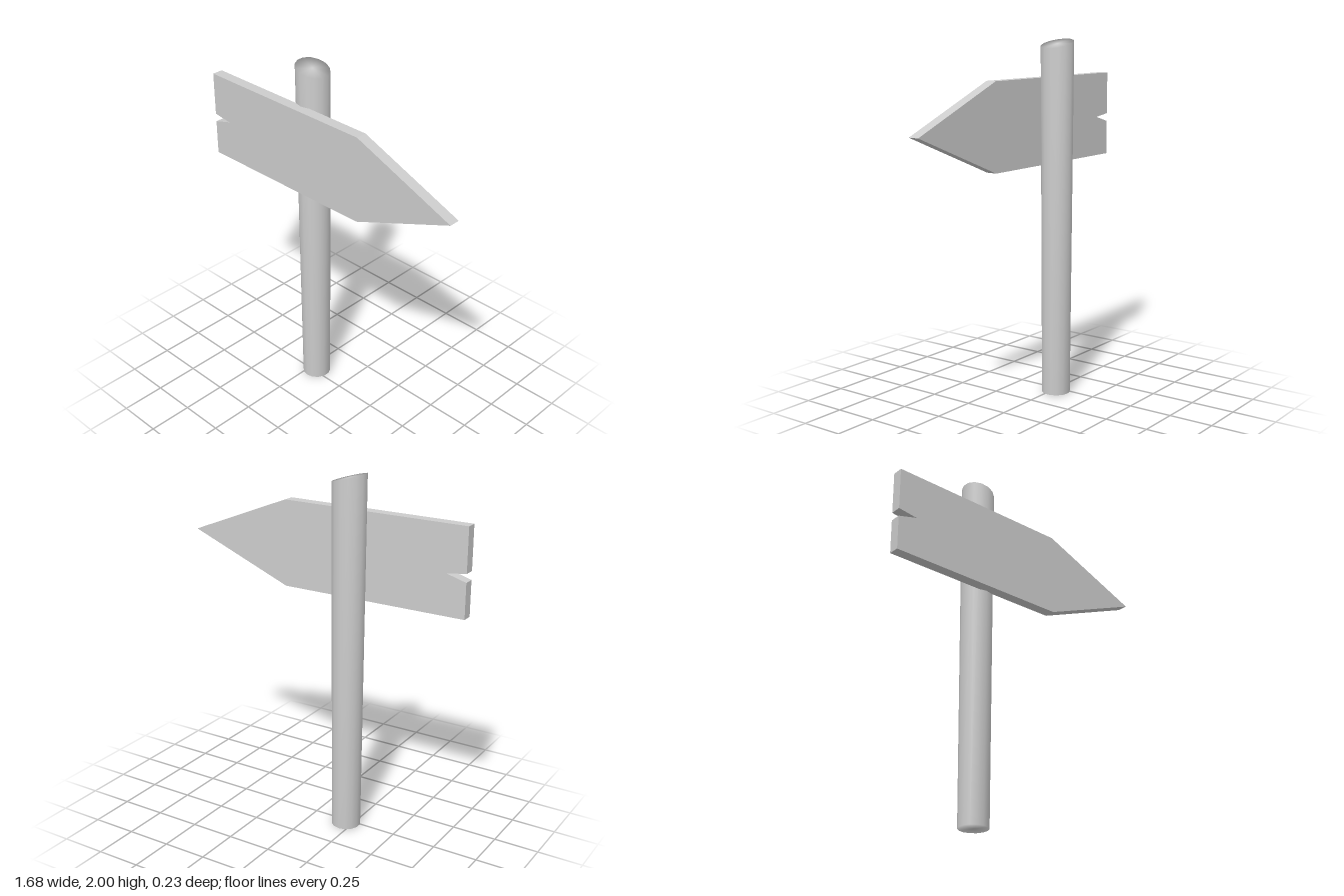
import * as THREE from 'three';
import { mergeVertices } from 'three/addons/utils/BufferGeometryUtils.js';

const grey = new THREE.MeshStandardMaterial({ color: 0xcccccc });
grey.name = 'plain grey';

// Slightly flared round post with a slanted top, shaded smoothly over its rims
function createPost() {
  const height = 1.975, topRadius = 0.092, slope = -0.27;
  let geometry = new THREE.CylinderGeometry(topRadius, 0.081, height, 14);
  geometry.translate(0, height / 2, 0);
  const p = geometry.attributes.position;
  for (let i = 0; i < p.count; i++) {
    if (p.getY(i) > height / 2) p.setY(i, height + p.getX(i) * slope);
  }
  geometry.deleteAttribute('normal');
  geometry.deleteAttribute('uv');
  geometry = mergeVertices(geometry);
  geometry.computeVertexNormals();
  const post = new THREE.Mesh(geometry, grey);
  post.name = 'post';
  post.position.set(-0.21, 0, -0.023);
  return post;
}

// Arrow-shaped board with a split in its tail
function createBoard() {
  const outline = [
    [-0.84, 1.307], [0.233, 1.307], [0.836, 1.547], [0.233, 1.79],
    [-0.84, 1.79], [-0.84, 1.548], [-0.727, 1.534], [-0.84, 1.502],
  ];
  const shape = new THREE.Shape(outline.map(([x, y]) => new THREE.Vector2(x, y)));
  const geometry = new THREE.ExtrudeGeometry(shape, { depth: 0.061, bevelEnabled: false });
  const board = new THREE.Mesh(geometry, grey);
  board.name = 'arrowBoard';
  board.position.z = 0.055;
  return board;
}

export function createModel() {
  const signpost = new THREE.Group();
  signpost.name = 'signpost';
  signpost.add(createPost(), createBoard());
  return signpost;
}
